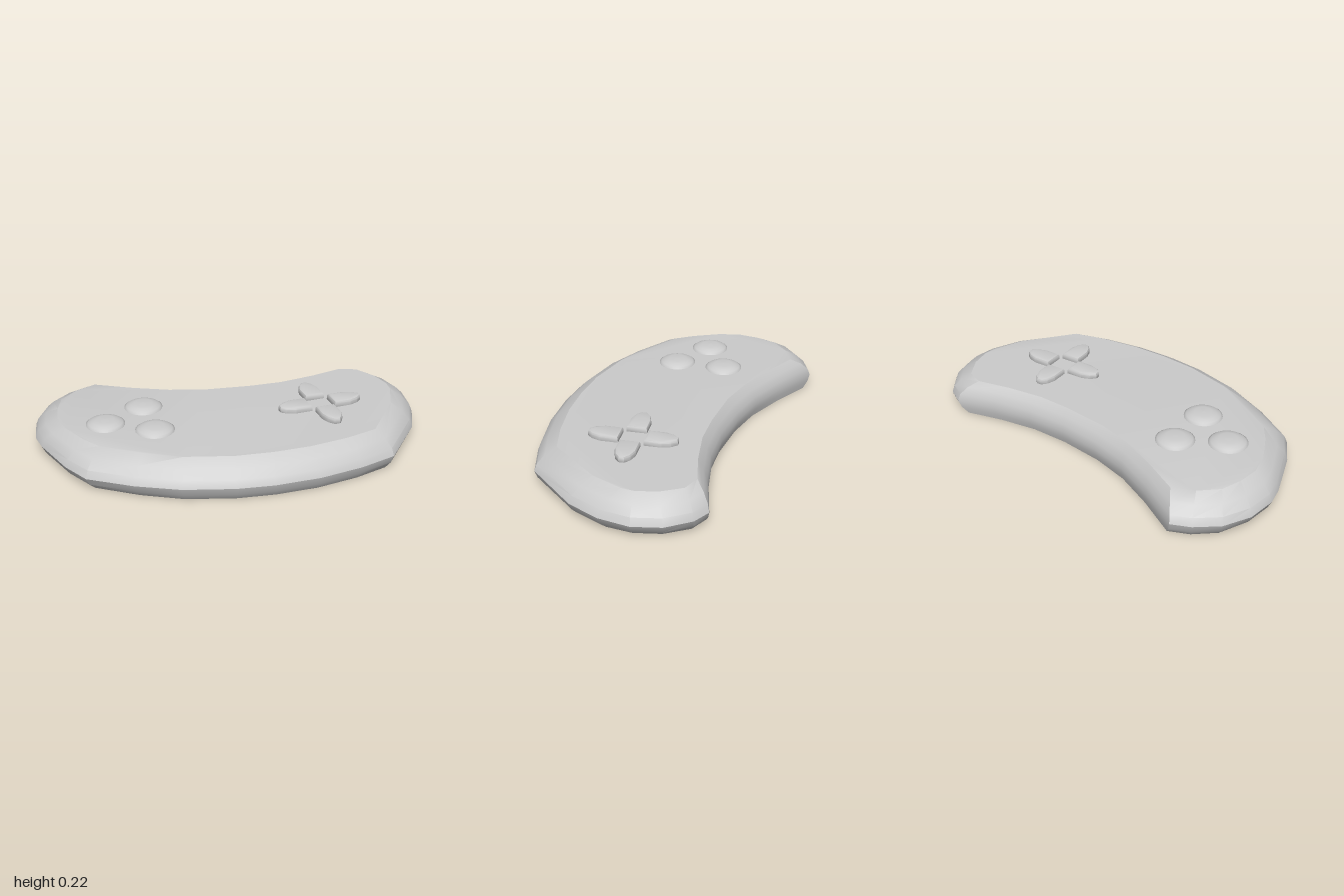
import * as THREE from 'three';
import { toCreasedNormals } from 'three/addons/utils/BufferGeometryUtils.js';

const TOP = 0.19;

// Widest outline of the curved shell, as x, z pairs
const OUTER = [
  -0.65, -0.67, -0.75, -0.64, -0.87, -0.565, -0.96, -0.44, -1, -0.29, -0.995, -0.19, -0.94, 0.07,
  -0.88, 0.22, -0.69, 0.375, -0.49, 0.5, -0.25, 0.595, -0.065, 0.64, 0.17, 0.665, 0.405, 0.655,
  0.605, 0.62, 0.86, 0.385, 0.955, 0.23, 1, 0.07, 0.985, -0.08, 0.915, -0.21,
  0.835, -0.27, 0.62, -0.24, 0.4, -0.23, 0.175, -0.255, -0.05, -0.315, -0.25, -0.395, -0.45, -0.52,
];

// Matching outline of the flat upper face
const INNER = [
  -0.595, -0.555, -0.71, -0.52, -0.81, -0.45, -0.86, -0.35, -0.89, -0.24, -0.88, -0.12, -0.83, 0.03,
  -0.78, 0.13, -0.61, 0.28, -0.44, 0.395, -0.21, 0.485, -0.02, 0.525, 0.17, 0.545, 0.38, 0.54,
  0.55, 0.515, 0.78, 0.285, 0.865, 0.135, 0.88, 0.07, 0.87, -0.04, 0.82, -0.155,
  0.735, -0.2, 0.555, -0.18, 0.355, -0.175, 0.175, -0.2, -0.065, -0.255, -0.245, -0.33, -0.415, -0.43,
];

// Side profile: height, inset in x, inset in z (0 = widest outline, 1 = upper face)
const RINGS = [
  [0, 0.5, 0.3], [0.035, 0.18, 0.1], [0.075, 0, 0], [0.115, 0.13, 0.13], [0.155, 0.48, 0.48], [TOP, 1, 1],
];

function shellGeometry() {
  const n = OUTER.length / 2;
  const positions = [];
  const index = [];
  const lerp = THREE.MathUtils.lerp;
  for (const [y, fx, fz] of RINGS) {
    for (let i = 0; i < n; i++) {
      positions.push(
        lerp(OUTER[2 * i], INNER[2 * i], fx), y,
        lerp(OUTER[2 * i + 1], INNER[2 * i + 1], fz));
    }
  }
  // Rounded side wall
  for (let k = 0; k < RINGS.length - 1; k++) {
    for (let i = 0; i < n; i++) {
      const j = (i + 1) % n;
      const a = k * n + i, b = k * n + j, c = a + n, d = b + n;
      index.push(a, b, d, a, d, c);
    }
  }
  // Flat faces above and below
  const cap = (ring, flip) => {
    const start = ring * n;
    const points = [];
    for (let i = 0; i < n; i++) {
      const p = 3 * (start + i);
      points.push(new THREE.Vector2(positions[p], -positions[p + 2]));
    }
    for (const [a, b, c] of THREE.ShapeUtils.triangulateShape(points, [])) {
      index.push(start + a, start + (flip ? c : b), start + (flip ? b : c));
    }
  };
  cap(0, true);
  cap(RINGS.length - 1, false);

  const geometry = new THREE.BufferGeometry();
  geometry.setAttribute('position', new THREE.Float32BufferAttribute(positions, 3));
  geometry.setIndex(index);
  return toCreasedNormals(geometry, 0.5);
}

// Shallow round button
function domeGeometry() {
  const profile = [[0.1, -0.01], [0.1, 0.002], [0.088, 0.011], [0.068, 0.02], [0.045, 0.026], [0, 0.027]];
  return new THREE.LatheGeometry(profile.map(([r, y]) => new THREE.Vector2(r, y)), 32);
}

// Direction key: square inner end, tapered outer end
function keyGeometry() {
  const shape = new THREE.Shape();
  shape.moveTo(-0.053, 0.065);
  shape.lineTo(0.053, 0.065);
  shape.lineTo(0.053, 0.155);
  shape.lineTo(0.038, 0.2);
  shape.lineTo(0.014, 0.228);
  shape.lineTo(-0.014, 0.228);
  shape.lineTo(-0.038, 0.2);
  shape.lineTo(-0.053, 0.155);
  shape.closePath();
  const geometry = new THREE.ExtrudeGeometry(shape, {
    depth: 0.02, bevelThickness: 0.012, bevelSize: 0.014, bevelOffset: -0.014, bevelSegments: 2,
  });
  geometry.rotateX(-Math.PI / 2);
  return toCreasedNormals(geometry, 0.5);
}

export function createModel() {
  const model = new THREE.Group();
  model.name = 'gameController';
  const grey = new THREE.MeshStandardMaterial({ color: 0xcccccc });
  const add = (name, geometry, parent = model) => {
    const mesh = new THREE.Mesh(geometry, grey);
    mesh.name = name;
    parent.add(mesh);
    return mesh;
  };

  add('shell', shellGeometry());

  // Three round buttons
  const dome = domeGeometry();
  [[-0.68, -0.085], [-0.44, -0.19], [-0.47, 0.075]].forEach(([x, z], i) => {
    add(`roundButton${i + 1}`, dome).position.set(x, TOP, z);
  });

  // Four direction keys around a slightly turned centre
  const pad = new THREE.Group();
  pad.name = 'directionPad';
  pad.position.set(0.42, TOP, 0.16);
  pad.rotation.y = -0.07;
  model.add(pad);
  const key = keyGeometry();
  ['backKey', 'rightwardKey', 'frontKey', 'leftwardKey'].forEach((name, i) => {
    add(name, key, pad).rotation.y = -i * Math.PI / 2;
  });

  return model;
}
